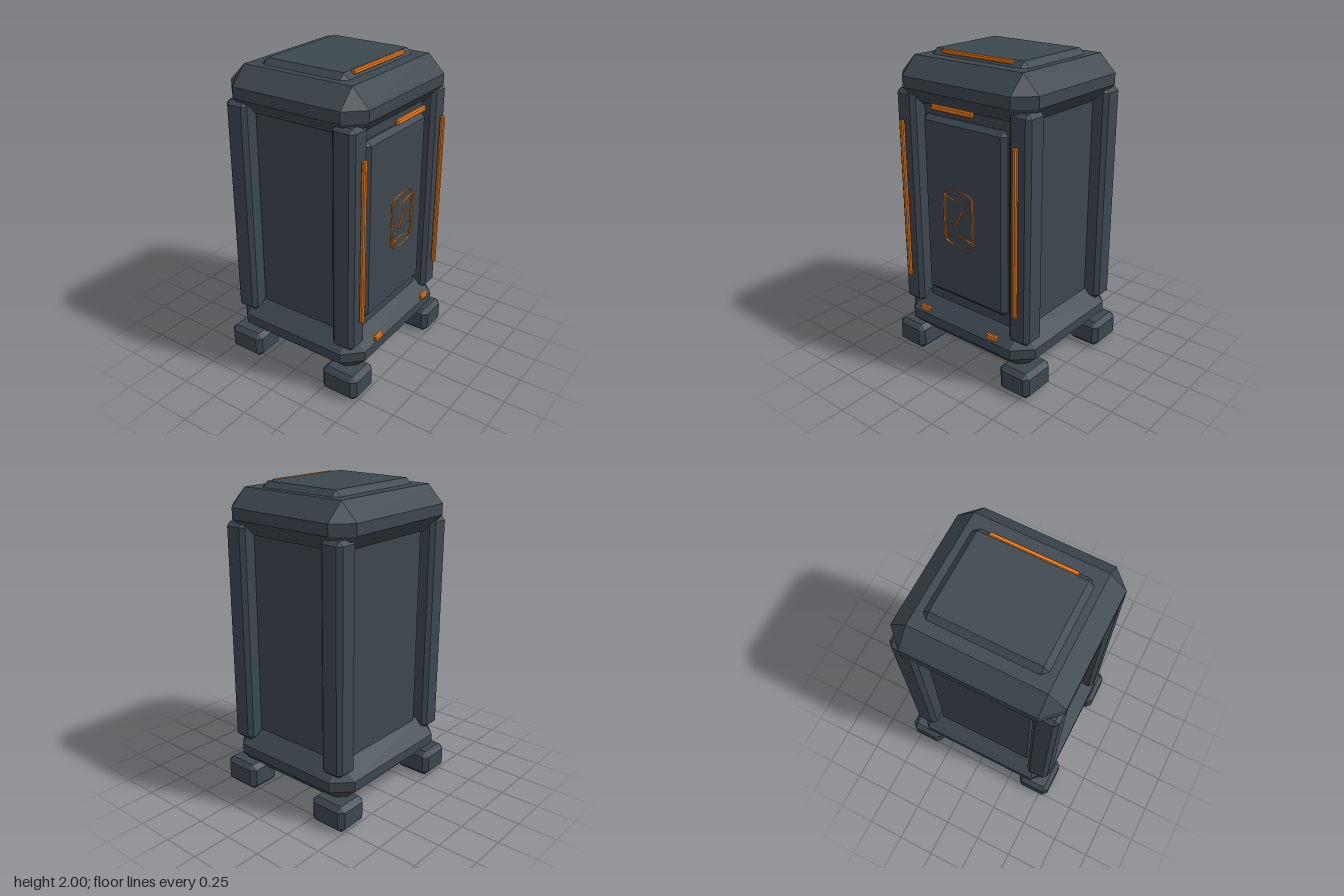
import * as THREE from 'three';
import { ConvexGeometry } from 'three/addons/geometries/ConvexGeometry.js';

const dark = new THREE.MeshStandardMaterial({ color: 0x3d474f, flatShading: true });
const orange = new THREE.MeshStandardMaterial({ color: 0xe87a1a, flatShading: true });

// Box with every edge cut at 45 degrees by c
function chamferBox(w, h, d, c) {
  const points = [];
  for (const sx of [-1, 1]) for (const sy of [-1, 1]) for (const sz of [-1, 1]) {
    const x = w / 2, y = h / 2, z = d / 2;
    points.push(
      new THREE.Vector3(sx * x, sy * (y - c), sz * (z - c)),
      new THREE.Vector3(sx * (x - c), sy * y, sz * (z - c)),
      new THREE.Vector3(sx * (x - c), sy * (y - c), sz * z));
  }
  return new ConvexGeometry(points);
}

export function createModel() {
  const model = new THREE.Group();
  model.name = 'storageLocker';
  const ZC = -0.005; // depth centre of the housing

  // Adds a chamfered block given by its extents
  function block(name, [x0, x1], [y0, y1], [z0, z1], c, material = dark, parent = model) {
    const mesh = new THREE.Mesh(chamferBox(x1 - x0, y1 - y0, z1 - z0, c), material);
    mesh.position.set((x0 + x1) / 2, (y0 + y1) / 2, (z0 + z1) / 2);
    mesh.name = name;
    parent.add(mesh);
    return mesh;
  }

  // Housing
  block('body', [-0.42, 0.42], [0.2, 1.88], [ZC - 0.385, ZC + 0.39], 0.09);
  block('base', [-0.52, 0.52], [0.12, 0.405], [ZC - 0.486, ZC + 0.486], 0.11);
  block('lid', [-0.52, 0.52], [1.675, 1.965], [ZC - 0.486, ZC + 0.486], 0.11);
  block('lidPlate', [-0.367, 0.367], [1.88, 2], [ZC - 0.305, ZC + 0.303], 0.037);
  block('doorPanel', [-0.325, 0.325], [0.46, 1.63], [0.33, 0.425], 0.03);

  // Corner posts and feet
  for (const sx of [-1, 1]) for (const sz of [-1, 1]) {
    const post = block('cornerPost', [-0.076, 0.076], [0.335, 1.765], [-0.077, 0.077], 0.026);
    post.position.x = sx * 0.439;
    post.position.z = ZC + sz * 0.379;
    const foot = block('foot', [-0.113, 0.113], [0, 0.175], [-0.127, 0.127], 0.031);
    foot.position.x = sx * 0.442;
    foot.position.z = ZC + sz * 0.379;
  }

  // Orange light strips
  block('lidLight', [-0.267, 0.267], [1.976, 2.002], [0.262, 0.29], 0.006, orange);
  block('doorLight', [-0.157, 0.157], [1.697, 1.732], [0.482, 0.507], 0.007, orange);
  for (const s of [-1, 1]) {
    const strip = block('postLight', [-0.015, 0.015], [0.53, 1.58], [0.46, 0.487], 0.007, orange);
    strip.position.x = s * 0.439;
    const lamp = block('baseLight', [-0.042, 0.042], [0.326, 0.368], [0.482, 0.507], 0.007, orange);
    lamp.position.x = s * 0.282;
  }

  // Canister symbol on the door
  const symbol = new THREE.Group();
  symbol.name = 'canisterSymbol';
  symbol.position.z = 0.465;
  model.add(symbol);
  for (const y of [1.188, 0.895]) {
    const ring = new THREE.Mesh(new THREE.TorusGeometry(0.11, 0.006, 6, 36), orange);
    ring.scale.y = 0.29;
    ring.position.y = y;
    ring.name = 'symbolRim';
    symbol.add(ring);
  }
  for (const s of [-1, 1]) {
    const side = block('symbolSide', [-0.008, 0.008], [0.895, 1.188], [-0.007, 0.007], 0.003, orange, symbol);
    side.position.x = s * 0.112;
  }
  const slash = block('symbolSlash', [-0.007, 0.007], [0.975, 1.105], [-0.007, 0.007], 0.003, orange, symbol);
  slash.rotation.z = -0.55;

  return model;
}
